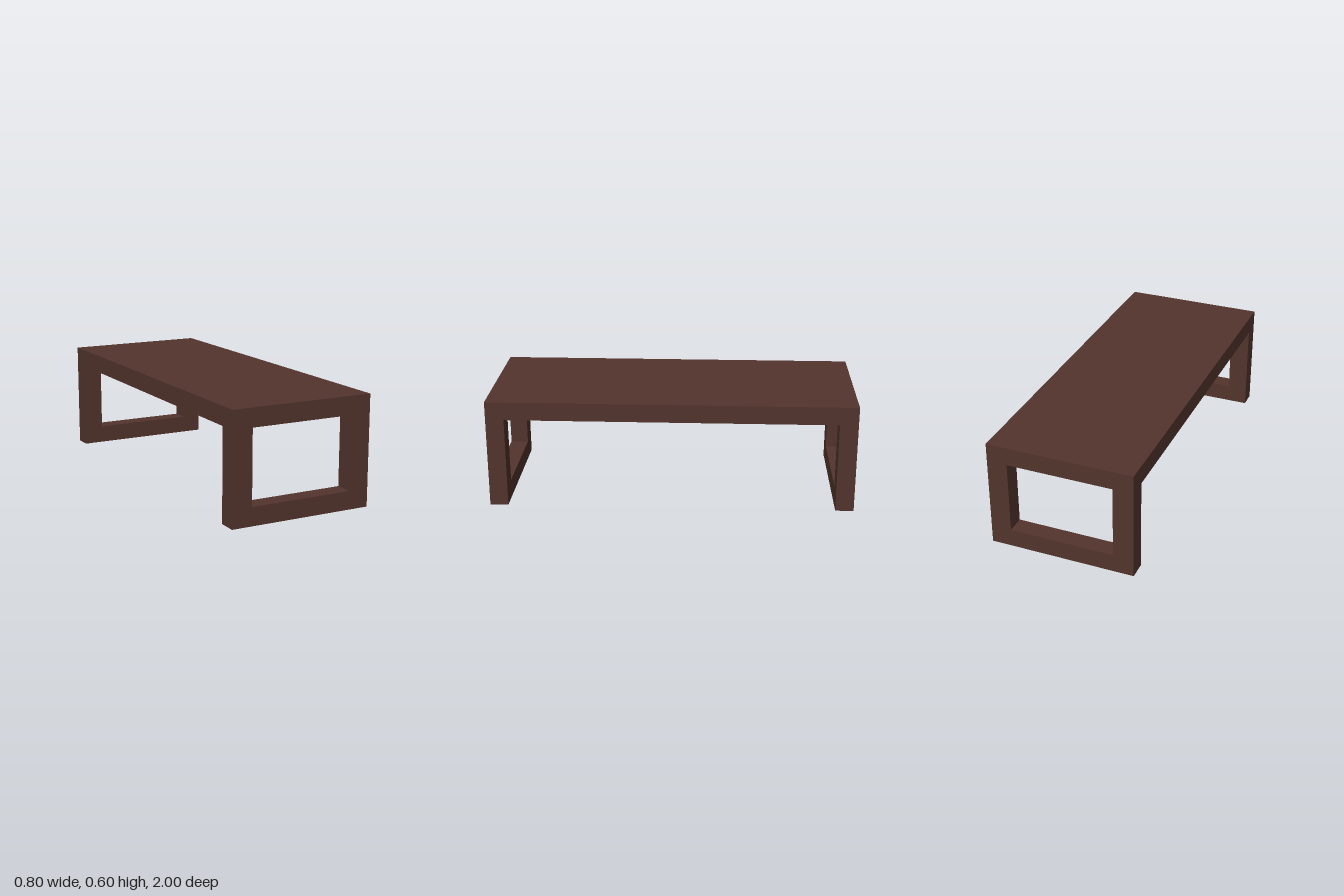
import * as THREE from 'three';

export function createModel() {
  const model = new THREE.Group();
  model.name = 'bench';
  const darkWood = new THREE.MeshStandardMaterial({ color: 0x52342c });
  darkWood.name = 'darkWood';

  const addBox = (name, parent, size, position) => {
    const mesh = new THREE.Mesh(new THREE.BoxGeometry(...size), darkWood);
    mesh.name = name;
    mesh.position.set(...position);
    parent.add(mesh);
  };

  // Flat top slab
  addBox('top', model, [0.8, 0.1, 2], [0, 0.55, 0]);

  // Open leg frame at each end: two posts joined by a floor rail
  for (const [end, side] of [['front', 1], ['back', -1]]) {
    const frame = new THREE.Group();
    frame.name = end + 'LegFrame';
    frame.position.z = side * 0.95;
    addBox('leftPost', frame, [0.112, 0.5, 0.1], [0.344, 0.25, 0]);
    addBox('rightPost', frame, [0.112, 0.5, 0.1], [-0.344, 0.25, 0]);
    addBox('floorRail', frame, [0.576, 0.1, 0.1], [0, 0.05, 0]);
    model.add(frame);
  }
  return model;
}
